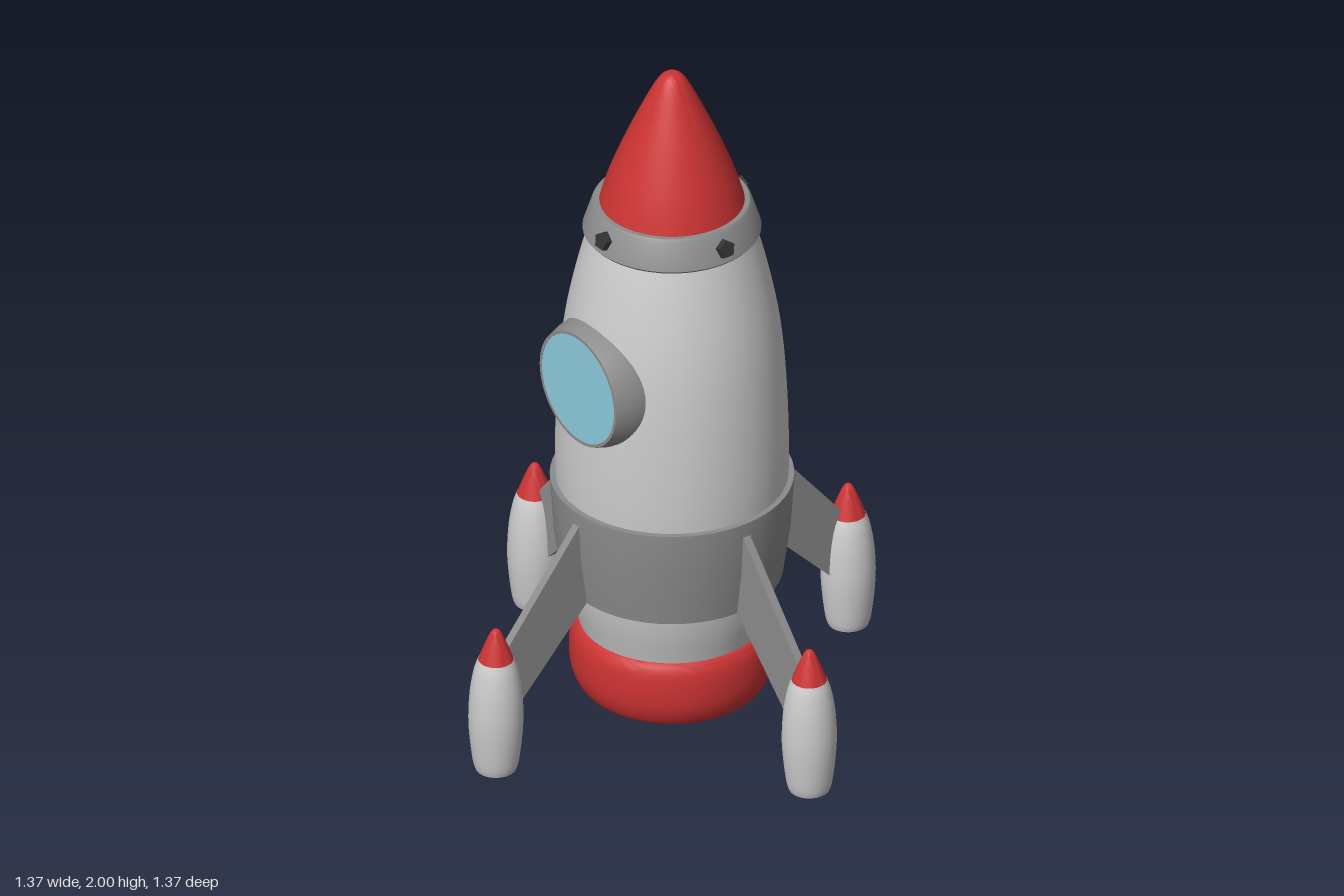
import * as THREE from 'three';
import { toCreasedNormals } from 'three/addons/utils/BufferGeometryUtils.js';

const paint = (color) => new THREE.MeshStandardMaterial({ color });
const grey = paint(0xcccccc);
const darkGrey = paint(0x8c8c8c);
const black = paint(0x333333);
const red = paint(0xcc3333);
const glassBlue = paint(0x8ccbdc);

const vectors = (pairs) => pairs.map(([r, y]) => new THREE.Vector2(r, y));

// Smooth profile through a few [radius, height] points
const smooth = (pairs, n = 24) =>
  new THREE.SplineCurve(vectors(pairs)).getPoints(n).map((p) => [Math.max(p.x, 0), p.y]);

function add(parent, name, geometry, material) {
  const mesh = new THREE.Mesh(geometry, material);
  mesh.name = name;
  parent.add(mesh);
  return mesh;
}

// Turned part; profiles run from bottom to top on the outside
const turned = (pairs, segments = 64) =>
  toCreasedNormals(new THREE.LatheGeometry(vectors(pairs), segments), 0.6);

export function createModel() {
  const rocket = new THREE.Group();
  rocket.name = 'rocket';

  // Hull, closed at both ends
  add(rocket, 'hull', turned([
    [0, 0.18],
    ...smooth([[0.235, 0.18], [0.255, 0.26], [0.29, 0.41], [0.316, 0.68], [0.317, 0.9],
      [0.306, 1.1], [0.287, 1.25], [0.255, 1.4], [0.225, 1.51]], 32),
    [0, 1.51],
  ]), grey);

  // Nose cone with a rounded tip
  add(rocket, 'noseCone', turned([
    [0, 1.58],
    ...smooth([[0.202, 1.58], [0.175, 1.67], [0.13, 1.785], [0.085, 1.885], [0.045, 1.965],
      [0.022, 1.993], [0, 2]], 28),
  ]), red);

  // Collar under the nose
  add(rocket, 'noseCollar', turned([
    [0.2, 1.5], [0.238, 1.5], [0.244, 1.507], [0.219, 1.585], [0.212, 1.593], [0.19, 1.593],
  ]), darkGrey);

  // Band that carries the fins
  add(rocket, 'finBand', turned([
    [0.27, 0.415], [0.304, 0.415], [0.323, 0.55], [0.333, 0.7], [0.333, 0.713], [0.3, 0.713],
  ]), darkGrey);

  // Hollow engine skirt and the plate inside it
  add(rocket, 'engineSkirt', turned([
    [0.185, 0.19],
    ...smooth([[0.185, 0.16], [0.19, 0.1], [0.205, 0.063], [0.23, 0.052], [0.255, 0.066],
      [0.275, 0.11], [0.281, 0.16], [0.277, 0.22], [0.262, 0.254], [0.24, 0.26]], 30),
  ]), red);
  add(rocket, 'enginePlate', new THREE.CylinderGeometry(0.19, 0.19, 0.02, 48), grey)
    .position.y = 0.18;

  // Porthole on the front
  const porthole = new THREE.Group();
  porthole.name = 'porthole';
  porthole.position.set(0, 1.105, 0);
  porthole.rotation.x = Math.PI / 2;
  rocket.add(porthole);
  add(porthole, 'portholeFrame', turned([
    [0.192, 0.2], [0.189, 0.25], [0.184, 0.28], [0.169, 0.325], [0.16, 0.325], [0.16, 0.31],
  ]), darkGrey);
  add(porthole, 'portholeGlass', new THREE.CylinderGeometry(0.161, 0.161, 0.1, 48), glassBlue)
    .position.y = 0.274;

  // Slanted fin plate
  const finShape = new THREE.Shape(vectors([
    [0.28, 0.44], [0.31, 0.41], [0.6, 0.115], [0.6, 0.345], [0.325, 0.677], [0.29, 0.68],
  ]));
  const finGeometry = new THREE.ExtrudeGeometry(finShape, { depth: 0.024, bevelEnabled: false });
  finGeometry.translate(0, 0, -0.012);

  const podGeometry = turned([
    [0, 0],
    ...smooth([[0.056, 0], [0.063, 0.025], [0.072, 0.1], [0.0755, 0.17], [0.071, 0.25],
      [0.06, 0.315], [0.049, 0.348]], 20),
    [0, 0.348],
  ], 32);
  const tipGeometry = turned([
    [0, 0.346],
    ...smooth([[0.049, 0.346], [0.032, 0.392], [0.013, 0.435], [0, 0.445]], 12),
  ], 32);
  const boltGeometry = new THREE.CylinderGeometry(0.026, 0.031, 0.04, 5);

  // Four quarters, each with a fin, a pod and a collar bolt
  for (let i = 0; i < 4; i++) {
    const quarter = new THREE.Group();
    quarter.name = 'finAssembly' + (i + 1);
    quarter.rotation.y = (i * Math.PI) / 2;
    rocket.add(quarter);
    add(quarter, 'fin', finGeometry, darkGrey);
    add(quarter, 'pod', podGeometry, grey).position.x = 0.608;
    add(quarter, 'podTip', tipGeometry, red).position.x = 0.608;
    const bolt = add(quarter, 'collarBolt', boltGeometry, black);
    bolt.material.flatShading = true;
    bolt.position.set(0.228, 1.545, 0);
    // Turn the bolt outward with one corner up, leaning with the collar
    bolt.rotation.set(-Math.PI / 2, 0, -Math.PI / 2 + 0.3, 'ZYX');
    bolt.rotation.set(0, Math.PI / 2, -Math.PI / 2 + 0.3, 'ZYX');
    bolt.rotateY(Math.PI);
  }

  return rocket;
}
